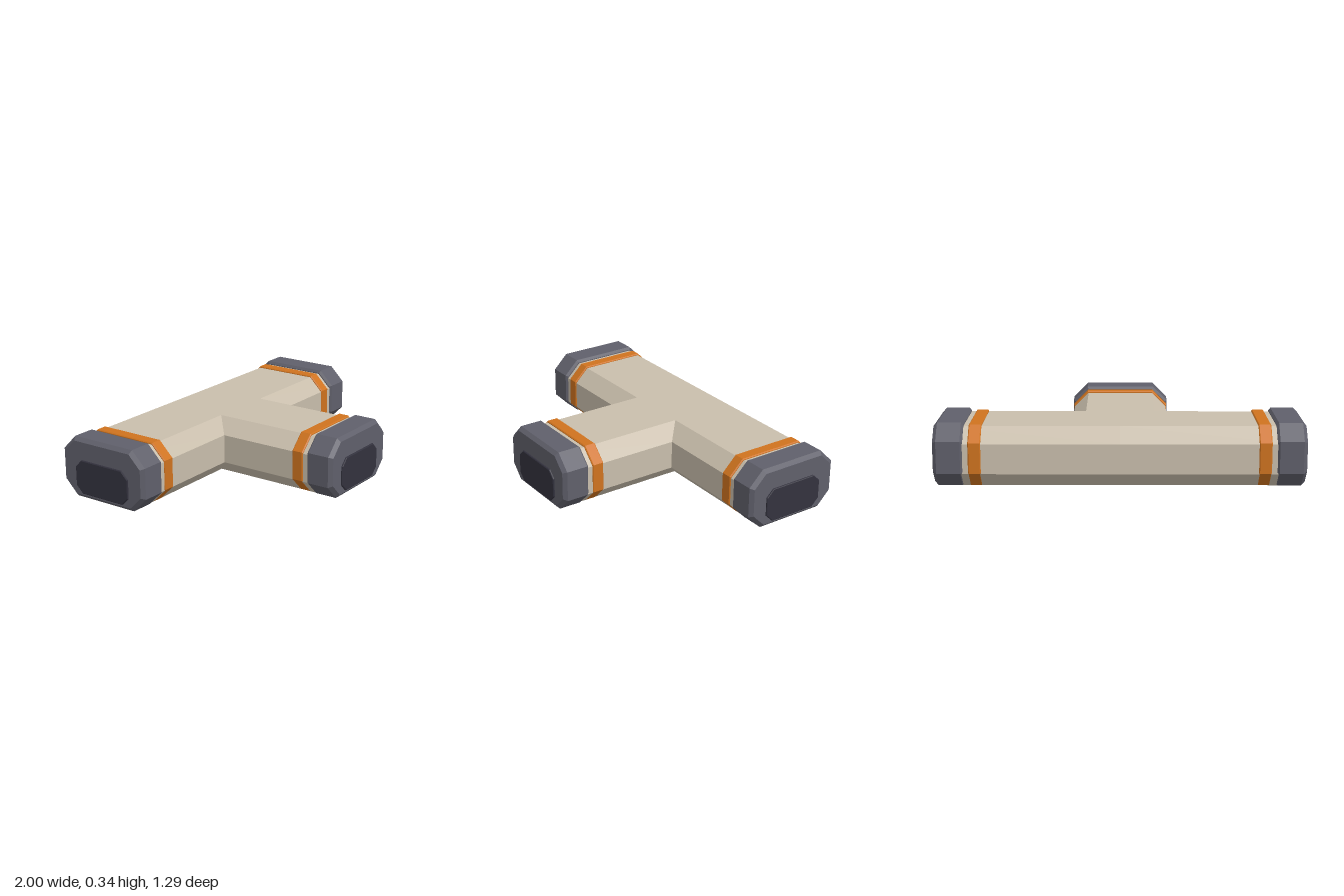
import * as THREE from 'three';

const mat = (name, color) => Object.assign(new THREE.MeshStandardMaterial({ color }), { name });

// Chamfered rectangle: half width w, bottom y0, top y1, chamfer c; z is a number or a rule of x
function ring(w, y0, y1, c, z) {
  const outline = [
    [w, y0 + c], [w, y1 - c], [w - c, y1], [c - w, y1],
    [-w, y1 - c], [-w, y0 + c], [c - w, y0], [w - c, y0],
  ];
  return outline.map(([x, y]) => [x, y, typeof z === 'function' ? z(x) : z]);
}

function flatGeometry(positions) {
  const g = new THREE.BufferGeometry();
  g.setAttribute('position', new THREE.Float32BufferAttribute(positions, 3));
  g.computeVertexNormals();
  return g;
}

// Flat-faced skin through rings ordered along +z, with optional end faces
function loft(rings, closeStart = true, closeEnd = true) {
  const p = [];
  const n = rings[0].length;
  for (let r = 0; r < rings.length - 1; r++) {
    const a = rings[r], b = rings[r + 1];
    for (let i = 0; i < n; i++) {
      const j = (i + 1) % n;
      p.push(...a[i], ...a[j], ...b[j], ...a[i], ...b[j], ...b[i]);
    }
  }
  const first = rings[0], last = rings[rings.length - 1];
  for (let i = 1; i < n - 1; i++) {
    if (closeStart) p.push(...first[0], ...first[i + 1], ...first[i]);
    if (closeEnd) p.push(...last[0], ...last[i], ...last[i + 1]);
  }
  return flatGeometry(p);
}

// Octagonal block with bevelled end edges
function bevelled(w, y0, y1, c, z0, z1, bevelIn, bevelOut, length0, length1) {
  const inset = (d, z) => ring(w - d, y0 + d, y1 - d, c - d * 0.59, z);
  return loft([
    inset(bevelIn, z0), inset(0, z0 + length0),
    inset(0, z1 - length1), inset(bevelOut, z1),
  ]);
}

export function createModel() {
  const shell = mat('warm beige shell', 0xc9beac);
  const collar = mat('slate grey collar', 0x60606b);
  const trim = mat('orange trim', 0xcf731f);
  const hatch = mat('dark hatch', 0x33323e);

  const W = 0.273, H = 0.326, C = 0.082, F = W - C;
  const model = new THREE.Group();
  model.name = 'corridorJunction';
  const junction = new THREE.Group();
  junction.name = 'junction';
  junction.position.z = -0.357;
  model.add(junction);

  const add = (parent, name, geometry, material) => {
    const m = new THREE.Mesh(geometry, material);
    m.name = name;
    parent.add(m);
  };

  // Each arm runs along its own +z; its inner end is mitred where arms meet
  const arms = [
    ['front', 0, x => Math.abs(x)],
    ['left', Math.PI / 2, x => Math.max(-x, 0)],
    ['right', -Math.PI / 2, x => Math.max(x, 0)],
  ];
  for (const [side, turn, mitre] of arms) {
    const arm = new THREE.Group();
    arm.name = side + 'Arm';
    arm.rotation.y = turn;
    junction.add(arm);
    add(arm, side + 'Tube', loft([ring(W, 0, H, C, mitre), ring(W, 0, H, C, 0.968)], false), shell);
    add(arm, side + 'Band', bevelled(0.279, 0.002, 0.335, 0.084, 0.736, 0.804, 0.005, 0.005, 0.005, 0.005), trim);
    add(arm, side + 'Collar', bevelled(0.285, 0.002, 0.345, 0.085, 0.832, 0.991, 0.014, 0.02, 0.012, 0.02), collar);
    add(arm, side + 'Hatch', bevelled(0.182, 0.033, 0.224, 0.042, 0.985, 1.0, 0, 0.004, 0.002, 0.003), hatch);
  }

  // Roof and floor triangles between the three mitred arms
  const a = [-F, F], b = [F, F], c = [0, -F];
  const at = (y, ...pts) => pts.flatMap(([x, z]) => [x, y, z]);
  add(junction, 'centreRoofAndFloor', flatGeometry([...at(H, a, b, c), ...at(0, a, c, b)]), shell);

  return model;
}
